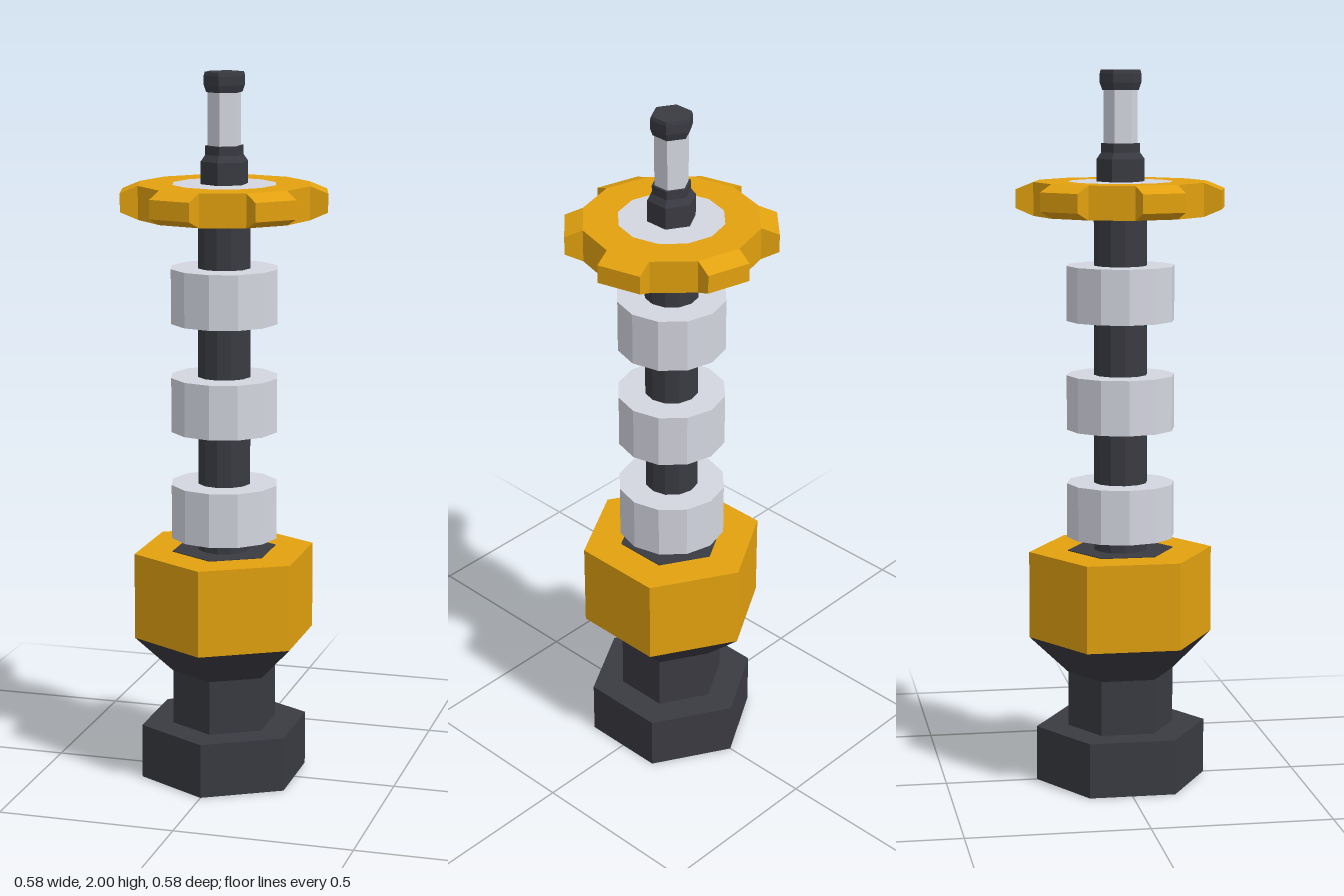
import * as THREE from 'three';

const paint = (color) => new THREE.MeshStandardMaterial({ color, flatShading: true });

export function createModel() {
  const model = new THREE.Group();
  const dark = paint(0x3a3b42), yellow = paint(0xe2a10f), silver = paint(0xd4d6e0);

  // Faceted turned part from a bottom-to-top [radius, y] profile
  const turned = (name, profile, sides, material) => {
    const points = profile.map(([r, y]) => new THREE.Vector2(r, y));
    const mesh = new THREE.Mesh(new THREE.LatheGeometry(points, sides), material);
    mesh.name = name;
    model.add(mesh);
  };
  const solid = (name, r, y0, y1, sides, material) =>
    turned(name, [[0, y0], [r, y0], [r, y1], [0, y1]], sides, material);
  const ring = (name, inner, outer, y0, y1, sides, material) =>
    turned(name, [[inner, y0], [outer, y0], [outer, y1], [inner, y1], [inner, y0]], sides, material);

  // Hexagonal foot, neck flaring out under the nut, and core rising through it
  turned('base', [
    [0, 0], [0.241, 0], [0.241, 0.155], [0.15, 0.155], [0.15, 0.31],
    [0.26, 0.415], [0.15, 0.415], [0.15, 0.662], [0, 0.662],
  ], 6, dark);
  ring('hexNut', 0.15, 0.26, 0.415, 0.66, 6, yellow);

  // Central shaft with three evenly spaced rings
  solid('shaft', 0.075, 0.66, 1.66, 12, dark);
  for (let i = 0; i < 3; i++) {
    const y = 0.7 + i * 0.305;
    solid('shaftRing', 0.152, y, y + 0.153, 12, silver);
  }

  // Toothed wheel with a hub plate set flush with its top
  const bottom = 1.602, top = 1.695, radius = 0.243;
  ring('wheelRim', 0.146, radius, bottom, top, 12, yellow);
  solid('hubPlate', 0.146, 1.65, top, 12, silver);

  // Teeth sit on alternate faces of the rim and taper outward
  const face = radius * Math.cos(Math.PI / 12);
  const width = 2 * radius * Math.sin(Math.PI / 12);
  const section = new THREE.Shape([
    [face - 0.01, bottom], [face, bottom], [0.284, 1.623],
    [0.284, 1.675], [face, top], [face - 0.01, top],
  ].map(([x, y]) => new THREE.Vector2(x, y)));
  const toothGeometry = new THREE.ExtrudeGeometry(section, { depth: width, bevelEnabled: false });
  toothGeometry.translate(0, 0, -width / 2);
  for (let i = 0; i < 6; i++) {
    const tooth = new THREE.Mesh(toothGeometry, yellow);
    tooth.name = 'wheelTooth';
    tooth.rotation.y = Math.PI / 12 + i * Math.PI / 3;
    model.add(tooth);
  }

  // Hexagonal collar, stem and cap at the tip
  turned('collar', [
    [0, top], [0.067, top], [0.067, 1.757], [0.054, 1.775], [0.054, 1.8], [0, 1.8],
  ], 6, dark);
  solid('stem', 0.047, 1.8, 1.95, 6, silver);
  turned('cap', [
    [0, 1.945], [0.051, 1.945], [0.058, 1.965], [0.058, 1.99], [0.055, 2], [0, 2],
  ], 6, dark);

  return model;
}
